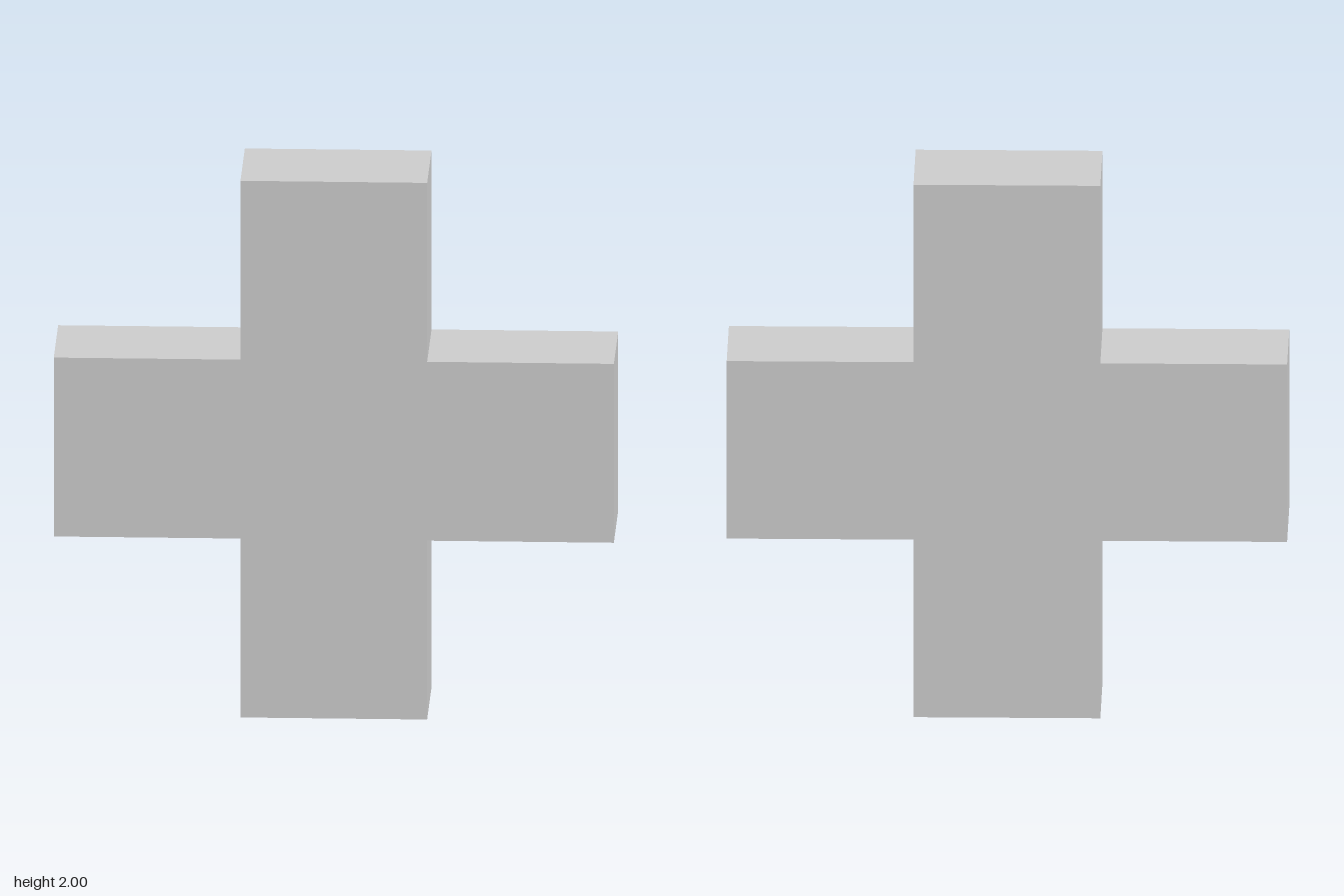
import * as THREE from 'three';

export function createModel() {
  const group = new THREE.Group();
  group.name = 'plusSign';

  const reach = 1;        // centre to arm tip
  const half = 1 / 3;     // half the arm width
  const depth = 0.4;

  // Plus outline: three corners per arm, turned a quarter four times
  const outline = [];
  for (let i = 0; i < 4; i++) {
    for (const [x, y] of [[reach, -half], [reach, half], [half, half]]) {
      outline.push(new THREE.Vector2(x, y).rotateAround(new THREE.Vector2(), i * Math.PI / 2));
    }
  }

  // One solid slab, centred in depth and standing on the ground
  const geometry = new THREE.ExtrudeGeometry(new THREE.Shape(outline), { depth, bevelEnabled: false });
  geometry.translate(0, reach, -depth / 2);

  const cross = new THREE.Mesh(geometry, new THREE.MeshStandardMaterial({ color: 0xcccccc, flatShading: true }));
  cross.name = 'plusBody';
  group.add(cross);
  return group;
}
